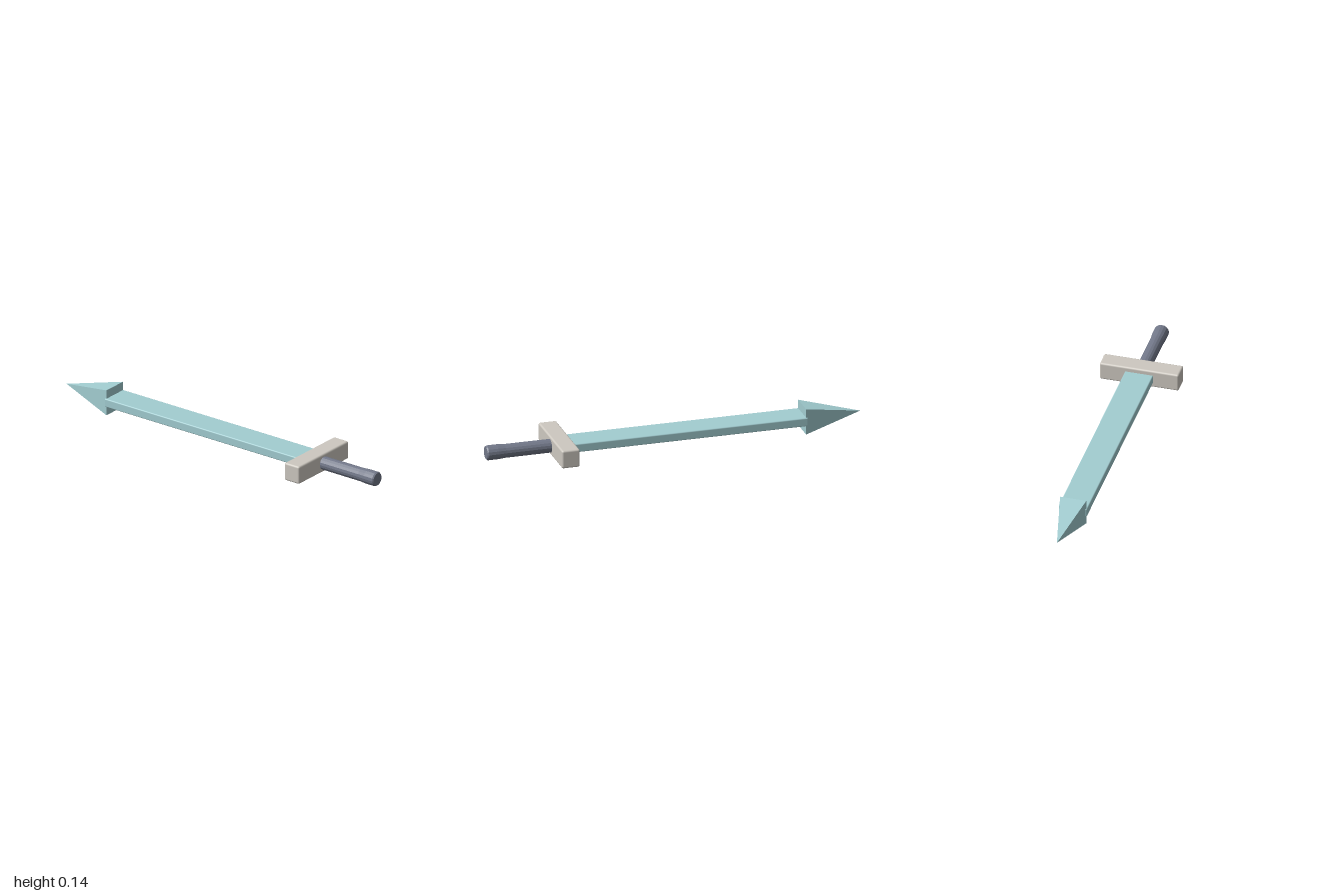
import * as THREE from 'three';
import { RoundedBoxGeometry } from 'three/addons/geometries/RoundedBoxGeometry.js';

const AXIS_Y = 0.072; // height of the sword's long axis

function material(name, color) {
  const m = new THREE.MeshStandardMaterial({ color });
  m.name = name;
  return m;
}

// Gives every face its own flat normal
function faceted(geometry) {
  const g = geometry.index ? geometry.toNonIndexed() : geometry;
  g.computeVertexNormals();
  return g;
}

export function createModel() {
  const sword = new THREE.Group();
  sword.name = 'sword';
  const teal = material('bladeTeal', 0xa2cdd1);
  const stone = material('guardStone', 0xcdc8c0);
  const slate = material('gripSlate', 0x727889);

  const add = (name, geometry, mat, z) => {
    const mesh = new THREE.Mesh(geometry, mat);
    mesh.name = name;
    mesh.position.set(0, AXIS_Y, z);
    sword.add(mesh);
  };

  // Flat blade with softened edges, running from inside the guard into the tip
  add('blade', new RoundedBoxGeometry(0.15, 0.046, 1.3, 2, 0.006), teal, -0.05);

  // Four-sided pyramid tip, taller than the blade
  const tip = new THREE.ConeGeometry(0.0695 * Math.SQRT2, 0.31, 4);
  tip.rotateY(Math.PI / 4).rotateX(-Math.PI / 2);
  add('bladeTip', faceted(tip), teal, -0.845);

  // Crossguard
  add('crossguard', new RoundedBoxGeometry(0.42, 0.097, 0.096, 2, 0.01), stone, 0.608);

  // Grip: slightly flared at the end, with a bevelled cap
  const profile = [[0, 0], [0.035, 0], [0.0355, 0.3], [0.0385, 0.34], [0.0385, 0.393], [0.034, 0.4], [0, 0.4]]
    .map(([r, y]) => new THREE.Vector2(r, y));
  const grip = new THREE.LatheGeometry(profile, 16);
  grip.rotateX(Math.PI / 2);
  add('grip', faceted(grip), slate, 0.6);

  return sword;
}
